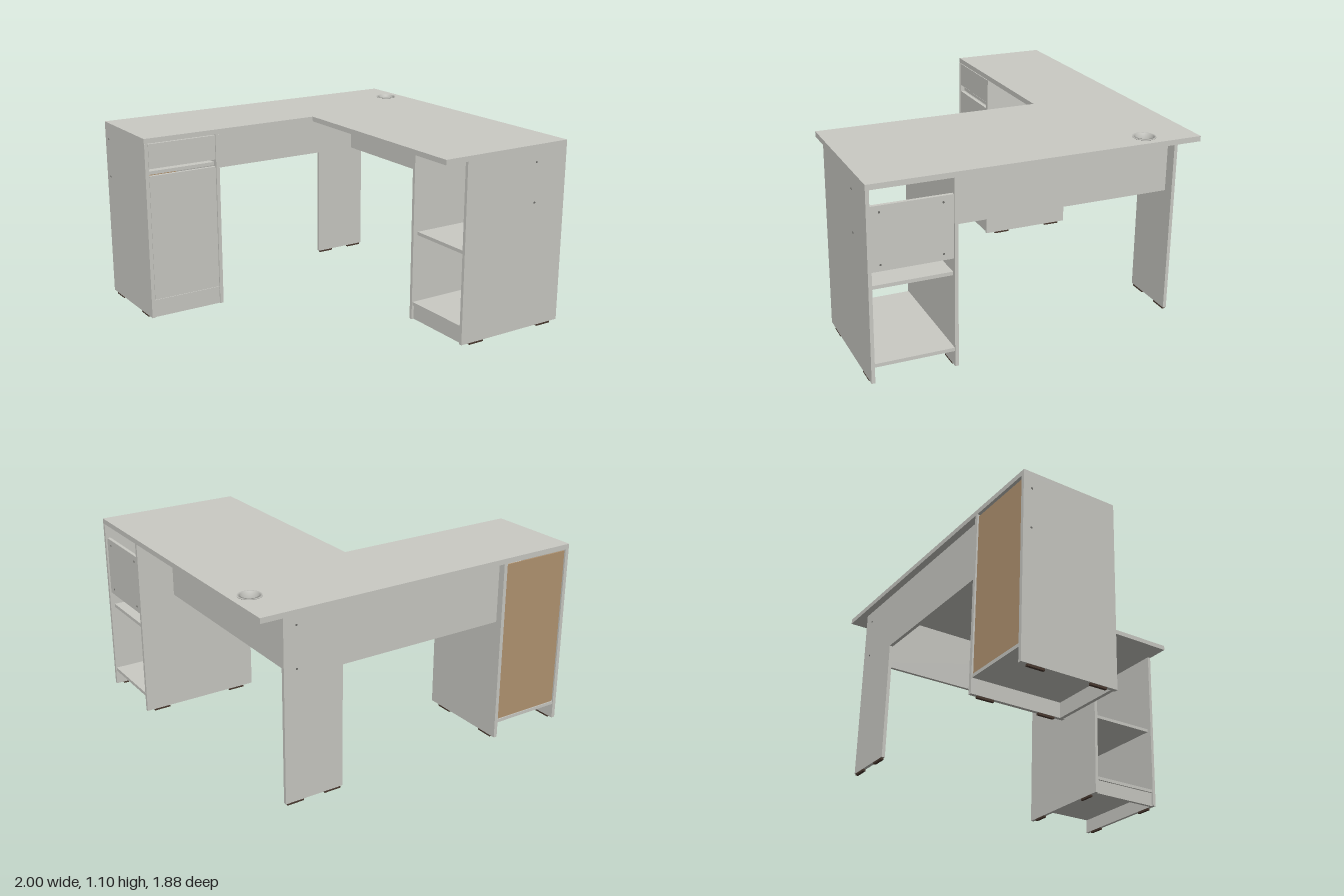
import * as THREE from 'three';

export function createModel() {
  const group = new THREE.Group();
  group.name = 'cornerDesk';
  const mat = (name, color) => {
    const m = new THREE.MeshStandardMaterial({ color });
    m.name = name;
    return m;
  };
  const board = mat('lightGreyBoard', 0xcacac4);
  const backing = mat('brownBacking', 0xb39572);
  const glide = mat('darkGlide', 0x4a3a30);
  const fitting = mat('greyFitting', 0x6e6e6a);

  const add = (parent, name, geo, material) => {
    const mesh = new THREE.Mesh(geo, material);
    mesh.name = name;
    parent.add(mesh);
    return mesh;
  };
  // Panel given by its extents on each axis
  const panel = (parent, name, [x0, x1], [y0, y1], [z0, z1], material = board) => {
    const geo = new THREE.BoxGeometry(x1 - x0, y1 - y0, z1 - z0);
    geo.translate((x0 + x1) / 2, (y0 + y1) / 2, (z0 + z1) / 2);
    return add(parent, name, geo, material);
  };
  const section = (name) => {
    const g = new THREE.Group();
    g.name = name;
    group.add(g);
    return g;
  };
  const under = [0.012, 1.07];

  // L-shaped top with a round cable hole
  const holeX = 0.893, holeZ = -0.655;
  const shape = new THREE.Shape(
    [[-1, 0.37], [0.13, 0.37], [0.13, -0.94], [1, -0.94], [1, 0.94], [-1, 0.94]]
      .map(([x, y]) => new THREE.Vector2(x, y)));
  const hole = new THREE.Path();
  hole.absarc(holeX, -holeZ, 0.056, 0, Math.PI * 2, true);
  shape.holes.push(hole);
  const topGeo = new THREE.ExtrudeGeometry(shape, { depth: 0.03, bevelEnabled: false, curveSegments: 24 });
  topGeo.rotateX(-Math.PI / 2).translate(0, 1.07, 0);
  add(group, 'deskTop', topGeo, board);

  // Cable grommet: flanged sleeve lining the hole
  const sleeve = [[0.051, 1.06], [0.056, 1.06], [0.056, 1.1], [0.065, 1.1], [0.065, 1.103], [0.051, 1.104], [0.051, 1.06]];
  const grommet = add(group, 'cableGrommet',
    new THREE.LatheGeometry(sleeve.map(([r, y]) => new THREE.Vector2(r, y)), 36), board);
  grommet.position.set(holeX, 0, holeZ);

  // Door and drawer cabinet
  const cab = section('doorCabinet');
  panel(cab, 'outerSide', [-1, -0.978], under, [-0.94, -0.367]);
  panel(cab, 'innerSide', [-0.547, -0.525], under, [-0.94, -0.367]);
  const inside = [-0.978, -0.547];
  panel(cab, 'bottomBoard', inside, [0.1, 0.12], [-0.935, -0.372]);
  panel(cab, 'plinth', inside, [0.012, 0.1], [-0.395, -0.375]);
  panel(cab, 'drawerRail', inside, [0.88, 0.9], [-0.92, -0.395]);
  panel(cab, 'backPanel', inside, [0.12, 1.06], [-0.93, -0.923], backing);
  panel(cab, 'door', [-0.975, -0.55], [0.123, 0.877], [-0.39, -0.37]);
  panel(cab, 'drawerFront', [-0.975, -0.55], [0.92, 1.066], [-0.39, -0.37]);

  // Open shelf unit under the return
  const unit = section('shelfUnit');
  panel(unit, 'endPanel', [0.28, 1], under, [0.92, 0.94]);
  panel(unit, 'innerPanel', [0.28, 1], under, [0.46, 0.48]);
  const bay = [0.48, 0.92];
  panel(unit, 'bottomBoard', [0.285, 0.995], [0.1, 0.12], bay);
  panel(unit, 'plinth', [0.295, 0.315], [0.012, 0.1], bay);
  panel(unit, 'shelf', [0.31, 0.975], [0.53, 0.55], bay);
  panel(unit, 'backRail', [0.97, 0.99], [0.63, 0.98], bay);

  // Corner leg and the two modesty panels
  panel(group, 'cornerLeg', [0.5, 0.85], under, [-0.9, -0.88]);
  panel(group, 'rearModestyPanel', [-0.525, 0.5], [0.72, 1.07], [-0.9, -0.88]);
  panel(group, 'returnModestyPanel', [0.765, 0.785], [0.72, 1.07], [-0.88, 0.46]);

  // Thin glides under every upright panel
  const feet = section('glides');
  for (const z of [0.93, 0.47])
    for (const x of [0.39, 0.9]) panel(feet, 'glide', [x - 0.05, x + 0.05], [0, 0.012], [z - 0.008, z + 0.008], glide);
  for (const x of [0.56, 0.79]) panel(feet, 'glide', [x - 0.05, x + 0.05], [0, 0.012], [-0.898, -0.882], glide);
  for (const x of [-0.989, -0.536])
    for (const z of [-0.48, -0.85]) panel(feet, 'glide', [x - 0.008, x + 0.008], [0, 0.012], [z - 0.05, z + 0.05], glide);

  // Small screw heads
  const screws = section('screws');
  const screw = (x, y, z, axis) => {
    const s = add(screws, 'screw', new THREE.CylinderGeometry(0.006, 0.006, 0.003, 10), fitting);
    if (axis === 'x') s.rotation.z = Math.PI / 2;
    else s.rotation.x = Math.PI / 2;
    s.position.set(x, y, z);
  };
  for (const y of [1.0, 0.765]) {
    screw(0.775, y, 0.94, 'z');
    screw(0.775, y, -0.9, 'z');
    screw(-1, y, -0.89, 'x');
  }
  for (const y of [0.945, 0.665])
    for (const z of [0.87, 0.535]) screw(0.99, y, z, 'x');

  return group;
}
